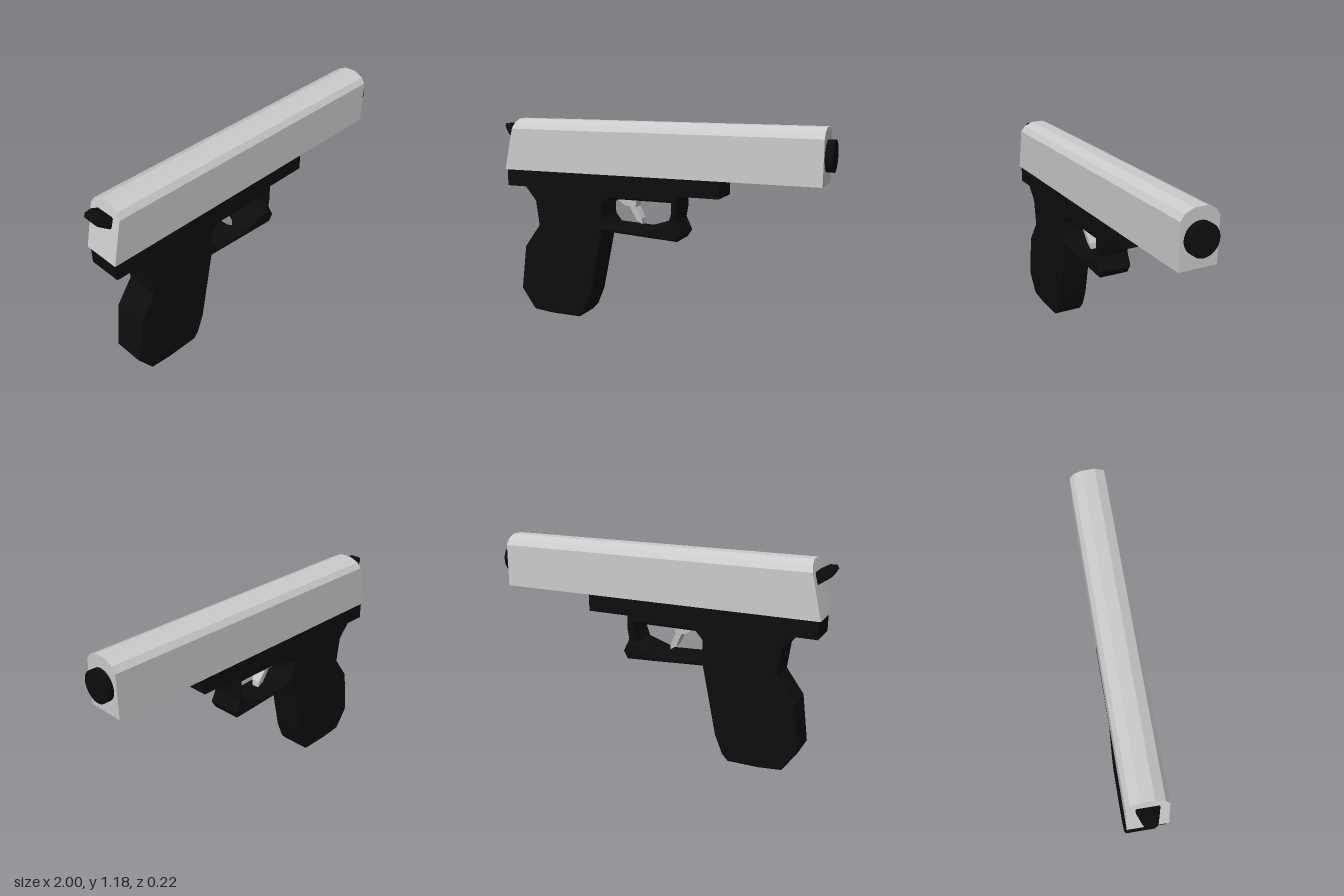
import * as THREE from 'three';

const steel = new THREE.MeshStandardMaterial({ color: 0xcccccc, flatShading: true });
const black = new THREE.MeshStandardMaterial({ color: 0x0d0d0d, flatShading: true });
const HALF = 0.098; // half width of frame and grip

const points = (list) => list.map(([x, y]) => new THREE.Vector2(x, y));

// Side profile extruded across z, centred, with bevelled edges kept inside the outline
function slab(profile, halfWidth, bevel = 0, hole = null) {
  const shape = new THREE.Shape(points(profile));
  if (hole) shape.holes.push(new THREE.Path(points(hole)));
  const geometry = new THREE.ExtrudeGeometry(shape, {
    depth: 2 * (halfWidth - bevel), bevelEnabled: bevel > 0, bevelSegments: 1,
    bevelThickness: bevel, bevelSize: bevel, bevelOffset: -bevel,
  });
  return geometry.translate(0, 0, bevel - halfWidth);
}

// Rewrites every vertex by a rule
function reshape(geometry, rule) {
  const p = geometry.attributes.position;
  const v = new THREE.Vector3();
  for (let i = 0; i < p.count; i++) {
    rule(v.fromBufferAttribute(p, i));
    p.setXYZ(i, v.x, v.y, v.z);
  }
  geometry.computeVertexNormals();
  return geometry;
}

export function createModel() {
  const group = new THREE.Group();
  const add = (name, geometry, material) => {
    const mesh = new THREE.Mesh(geometry, material);
    mesh.name = name;
    group.add(mesh);
    return mesh;
  };

  // Slide: faceted-top section run along x, with a raked back end
  const bottom = 0.883, top = 1.187;
  const half = [[0.108, bottom], [0.108, 1.13], [0.086, 1.163], [0.035, top]];
  const section = [...half, ...half.map(([z, y]) => [-z, y]).reverse()];
  const slide = new THREE.ExtrudeGeometry(new THREE.Shape(points(section)), { depth: 1, bevelEnabled: false });
  slide.rotateY(Math.PI / 2);
  add('slide', reshape(slide, (v) => {
    const back = THREE.MathUtils.mapLinear(v.y, bottom, top, -0.957, -0.887);
    v.x = v.x < 0.5 ? back : 0.96;
  }), steel);

  // Barrel end
  const muzzle = new THREE.CylinderGeometry(0.086, 0.086, 0.06, 32).rotateZ(-Math.PI / 2);
  add('muzzle', muzzle, black).position.set(0.97, 1.036, 0);

  // Frame rail under the slide
  add('frame', new THREE.BoxGeometry(1.35, 0.1, 2 * HALF), black).position.set(-0.272, 0.834, 0);

  // Grip and trigger guard share one outline with the guard opening cut out
  const outline = [
    [-0.84, 0.797], [-0.76, 0.7], [-0.74, 0.55], [-0.842, 0.41], [-0.877, 0.14],
    [-0.79, 0.015], [-0.66, 0.003], [-0.475, 0.003], [-0.44, 0.04], [-0.395, 0.15],
    [-0.313, 0.55], [0, 0.532], [0.157, 0.524], [0.183, 0.567], [0.147, 0.642],
    [0.157, 0.7], [0.157, 0.797],
  ];
  const opening = [
    [-0.267, 0.744], [-0.31, 0.695], [-0.307, 0.63], [-0.27, 0.583], [-0.06, 0.573],
    [0.1, 0.626], [0.12, 0.68], [0.12, 0.744],
  ];
  add('gripAndTriggerGuard', slab(outline, HALF, 0.01, opening), black);

  // Trigger, narrowing towards its tip
  const trigger = slab([
    [-0.25, 0.75], [-0.187, 0.7], [-0.16, 0.7], [-0.123, 0.62], [-0.086, 0.594],
    [-0.088, 0.63], [-0.123, 0.695], [-0.11, 0.75],
  ], 0.045);
  add('trigger', reshape(trigger, (v) => {
    v.z *= THREE.MathUtils.mapLinear(v.y, 0.594, 0.75, 0.5, 1);
  }), steel);

  // Hammer, narrowing towards the back
  const hammer = slab([
    [-1, 1.138], [-0.99, 1.155], [-0.95, 1.152], [-0.86, 1.1], [-0.88, 1.04], [-0.92, 1.06], [-0.975, 1.097],
  ], 0.062, 0.008);
  add('hammer', reshape(hammer, (v) => {
    v.z *= THREE.MathUtils.mapLinear(v.x, -1, -0.9, 0.5, 1);
  }), black);

  return group;
}
